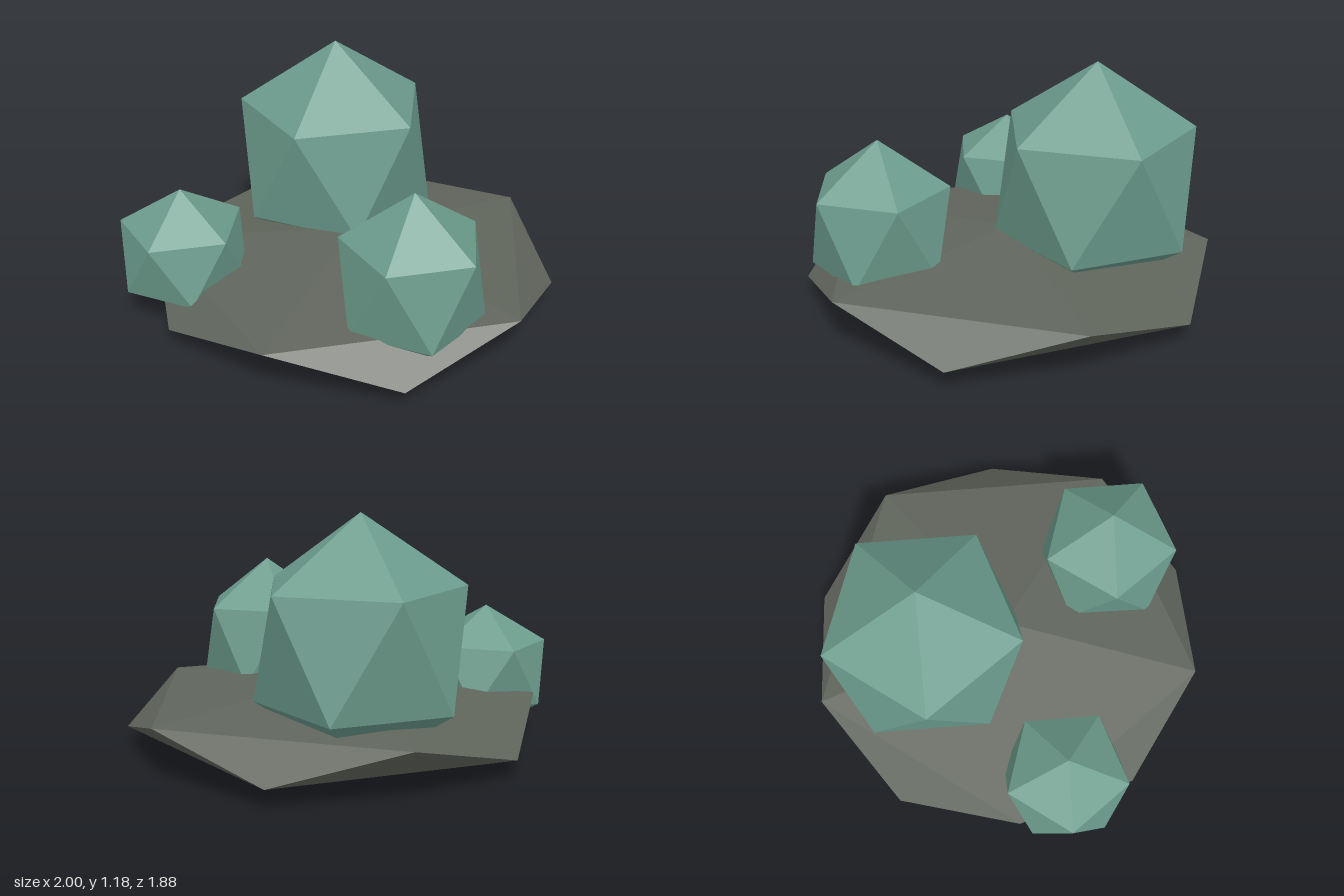
import * as THREE from 'three';

const foliage = new THREE.MeshStandardMaterial({ color: 0x6c9c8d });
foliage.name = 'sage green';
const stone = new THREE.MeshStandardMaterial({ color: 0x60655c });
stone.name = 'grey stone';

const RING = 2 / Math.sqrt(5); // ring radius of a unit icosahedron stood on a corner

// Faceted icosahedron standing on its lowest corner at y = 0,
// with one corner of its upper ring pointing to +x
function standingIcosahedron(name, material, x, z, height, radiusX, radiusZ = radiusX) {
  const geometry = new THREE.IcosahedronGeometry(1, 0);
  geometry.rotateX(-Math.atan((1 + Math.sqrt(5)) / 2));
  geometry.rotateY(Math.PI / 2);
  geometry.scale(radiusX / RING, height / 2, radiusZ / RING);
  const mesh = new THREE.Mesh(geometry, material);
  mesh.name = name;
  mesh.position.set(x, height / 2, z);
  return mesh;
}

export function createModel() {
  const model = new THREE.Group();
  model.name = 'shrubsOnRock';
  model.add(
    // Flat rock base
    standingIcosahedron('rockBase', stone, 0, 0, 0.35, 1, 0.987),
    // Three rounded shrubs
    standingIcosahedron('largeShrub', foliage, -0.33, -0.252, 1.18, 0.482),
    standingIcosahedron('mediumShrub', foliage, 0.577, 0.25, 0.853, 0.334),
    standingIcosahedron('smallShrub', foliage, -0.505, 0.65, 0.652, 0.301)
  );
  return model;
}
